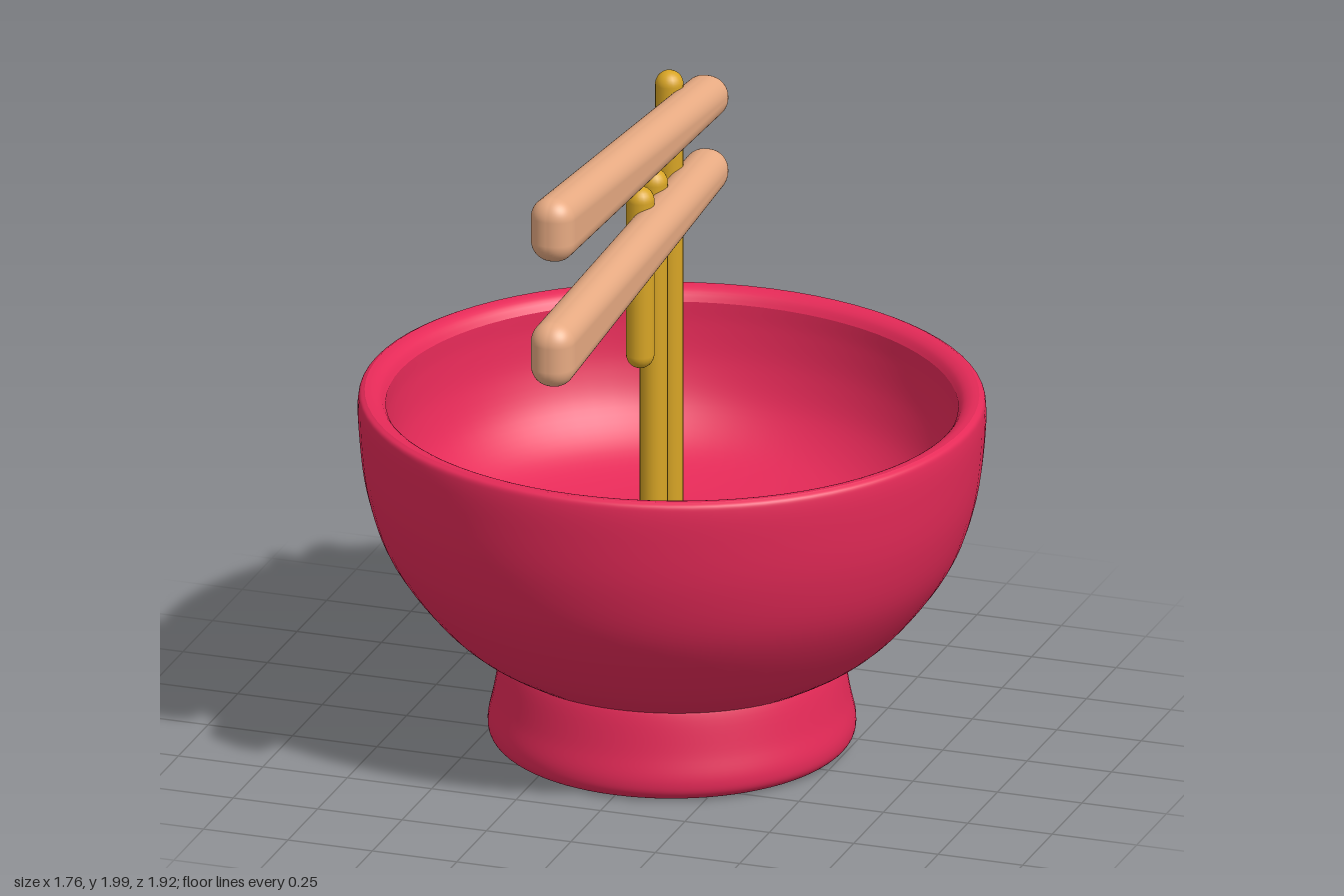
import * as THREE from 'three';
import { RoundedBoxGeometry } from 'three/addons/geometries/RoundedBoxGeometry.js';

const material = (name, color) => {
  const m = new THREE.MeshStandardMaterial({ color });
  m.name = name;
  return m;
};

export function createModel() {
  const red = material('bowl red', 0xe62a58);
  const wood = material('chopstick wood', 0xe8ab83);
  const gold = material('noodle gold', 0xd8a525);

  const model = new THREE.Group();
  const add = (parent, name, geometry, mat) => {
    const mesh = new THREE.Mesh(geometry, mat);
    mesh.name = name;
    parent.add(mesh);
    return mesh;
  };

  // Smooth lathe through a few profile points [radius, height]
  const turned = (points, steps) => {
    const curve = new THREE.CatmullRomCurve3(
      points.map(([r, y]) => new THREE.Vector3(r, y, 0)), false, 'centripetal');
    const profile = curve.getPoints(steps)
      .map(p => new THREE.Vector2(Math.max(p.x, 0), p.y));
    return new THREE.LatheGeometry(profile, 80);
  };

  // Foot: round, with a shallow hollow underneath
  const foot = turned([
    [0, 0.085], [0.25, 0.08], [0.36, 0.065], [0.41, 0.035], [0.44, 0.012],
    [0.465, 0.005], [0.49, 0.01], [0.51, 0.03], [0.515, 0.065],
    [0.50, 0.14], [0.477, 0.255], [0.46, 0.29]], 64);
  add(model, 'foot', foot, red).position.z = -0.103;

  // Bowl, slightly narrower from front to back
  const bowl = new THREE.Group();
  bowl.name = 'bowl';
  bowl.position.z = -0.103;
  bowl.scale.z = 0.968;
  model.add(bowl);

  add(bowl, 'bowlOuterWall', turned([
    [0.44, 0.235], [0.48, 0.255], [0.585, 0.32], [0.68, 0.41], [0.80, 0.58],
    [0.857, 0.75], [0.879, 0.92], [0.881, 1.005], [0.876, 1.028], [0.862, 1.037]], 48), red);
  add(bowl, 'bowlRim', turned([
    [0.862, 1.037], [0.84, 1.034], [0.818, 1.022], [0.803, 1.0]], 8), red);
  add(bowl, 'bowlInside', turned([
    [0.803, 1.0], [0.8, 0.93], [0.782, 0.82], [0.735, 0.71],
    [0.64, 0.62], [0.48, 0.565], [0.25, 0.54], [0, 0.535]], 40), red);

  // Chopsticks taper in height only; the rounded edges keep their radius
  const chopstick = (name, frontY, tipY) => {
    const zFront = 0.96, zTip = -0.44, length = zFront - zTip;
    const geometry = new RoundedBoxGeometry(0.128, 0.192, length, 6, 0.06);
    const pos = geometry.attributes.position;
    for (let i = 0; i < pos.count; i++) {
      const t = 0.5 - pos.getZ(i) / length;
      const y = pos.getY(i);
      pos.setY(i, y - Math.sign(y) * 0.035 * t + THREE.MathUtils.lerp(frontY, tipY, t));
    }
    add(model, name, geometry, wood).position.set(0.002, 0, (zFront + zTip) / 2);
  };
  chopstick('upperChopstick', 1.907, 1.818);
  chopstick('lowerChopstick', 1.527, 1.602);

  // Noodles: x, z, bottom, top
  const radius = 0.04;
  [[-0.063, -0.26, 0.5, 1.937], [-0.053, -0.1, 0.5, 1.702], [-0.044, 0.04, 1.16, 1.702]]
    .forEach(([x, z, bottom, top], i) => {
      const geometry = new THREE.CapsuleGeometry(radius, top - bottom - 2 * radius, 8, 20);
      add(model, `noodle${i + 1}`, geometry, gold).position.set(x, (bottom + top) / 2, z);
    });

  return model;
}
